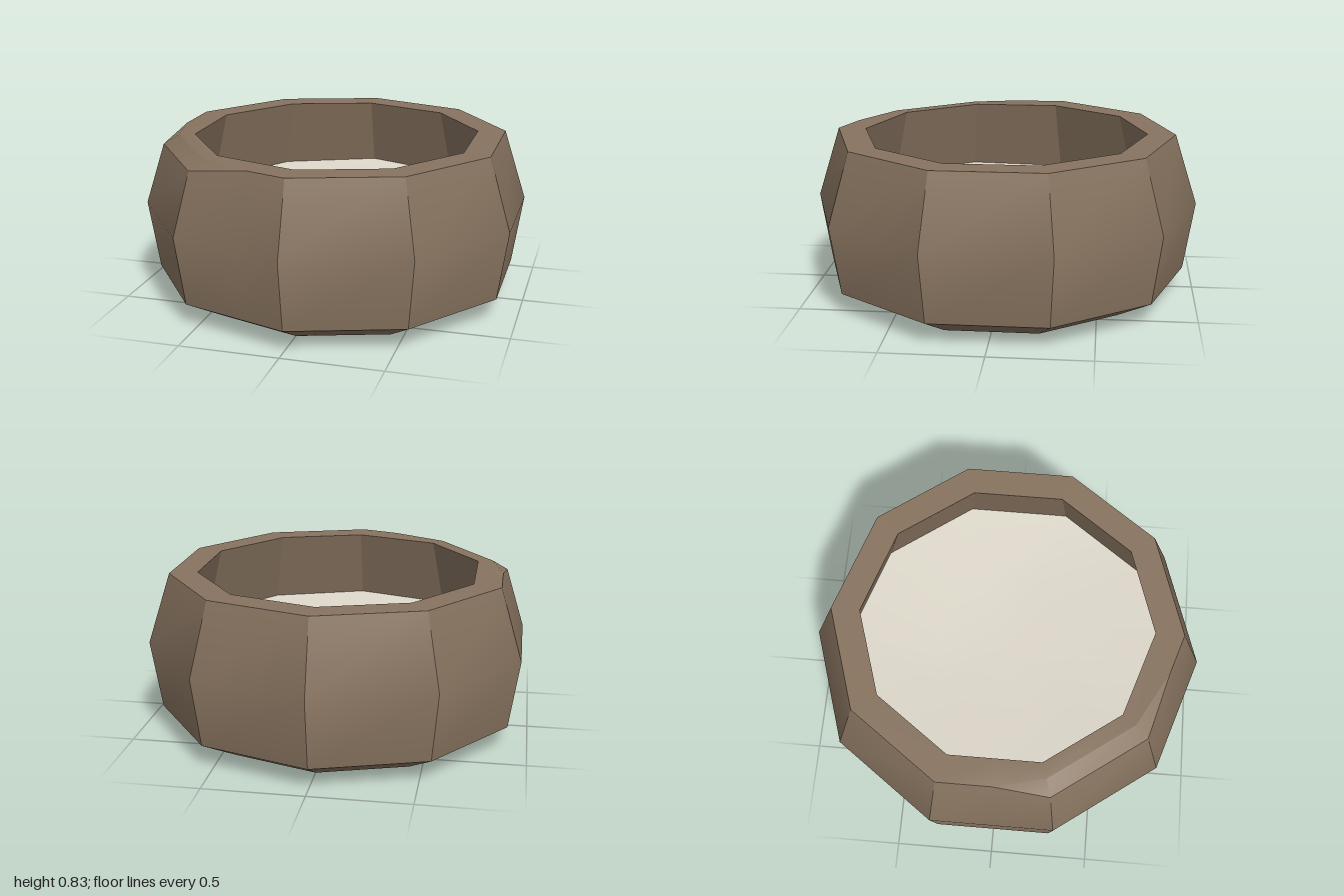
import * as THREE from 'three';
import { toCreasedNormals } from 'three/addons/utils/BufferGeometryUtils.js';

const SIDE = Math.PI / 5;

// Point on a regular ten-sided ring whose corners have radius r
function ringPoint(angle, r, y) {
  const t = ((angle % SIDE) + SIDE) % SIDE - SIDE / 2;
  const d = r * Math.cos(SIDE / 2) / Math.cos(t);
  return new THREE.Vector3(d * Math.sin(angle), y, d * Math.cos(angle));
}

// Skin columns of points running around the axis, skipping empty triangles
function skin(columns, crease) {
  const pos = [];
  const tri = new THREE.Triangle();
  const add = (a, b, c) => {
    tri.set(a, b, c);
    if (tri.getArea() > 1e-6) for (const p of [a, b, c]) pos.push(p.x, p.y, p.z);
  };
  columns.forEach((col, i) => {
    const next = columns[(i + 1) % columns.length];
    for (let j = 0; j < col.length - 1; j++) {
      add(col[j], next[j], next[j + 1]);
      add(col[j], next[j + 1], col[j + 1]);
    }
  });
  const geo = new THREE.BufferGeometry();
  geo.setAttribute('position', new THREE.Float32BufferAttribute(pos, 3));
  return toCreasedNormals(geo, crease);
}

export function createModel() {
  const group = new THREE.Group();
  const brown = new THREE.MeshStandardMaterial({ color: 0x87735f });
  brown.name = 'brown clay';
  const cream = new THREE.MeshStandardMaterial({ color: 0xdcd7c9 });
  cream.name = 'cream filling';

  // Bowl wall: ten corners plus two columns where the chipped rim begins and ends
  const angles = [];
  for (let i = 0; i < 10; i++) angles.push({ a: i * SIDE, chipped: i === 8 || i === 9 });
  angles.push({ a: 1.5 * Math.PI, chipped: false }, { a: 2 * Math.PI - 0.239, chipped: false });
  angles.sort((p, q) => p.a - q.a);
  const wall = angles.map(({ a, chipped }) => [
    [0, 0], [0.743, 0], [0.945, 0.11], [1, 0.465],
    chipped ? [0.9, 0.78] : [0.882, 0.83],
    chipped ? [0.818, 0.83] : [0.882, 0.83],
    [0.737, 0.83], [0.862, 0.36],
  ].map(([r, y]) => ringPoint(a, r, y)));
  const bowl = new THREE.Mesh(skin(wall, 0.55), brown);
  bowl.name = 'bowl';
  group.add(bowl);

  // Filling: a shallow, slightly uneven dish whose edge sinks into the wall
  const edge = [0.465, 0.46, 0.465, 0.47, 0.465, 0.475, 0.46, 0.45, 0.46, 0.465];
  const dish = edge.map((h, i) => [
    ringPoint(i * SIDE, 0.85, h),
    ringPoint(i * SIDE, 0.4, 0.42 + 0.01 * Math.sin(i * 2)),
    new THREE.Vector3(0, 0.41, 0),
  ]);
  const filling = new THREE.Mesh(skin(dish, 1.2), cream);
  filling.name = 'filling';
  group.add(filling);

  return group;
}
